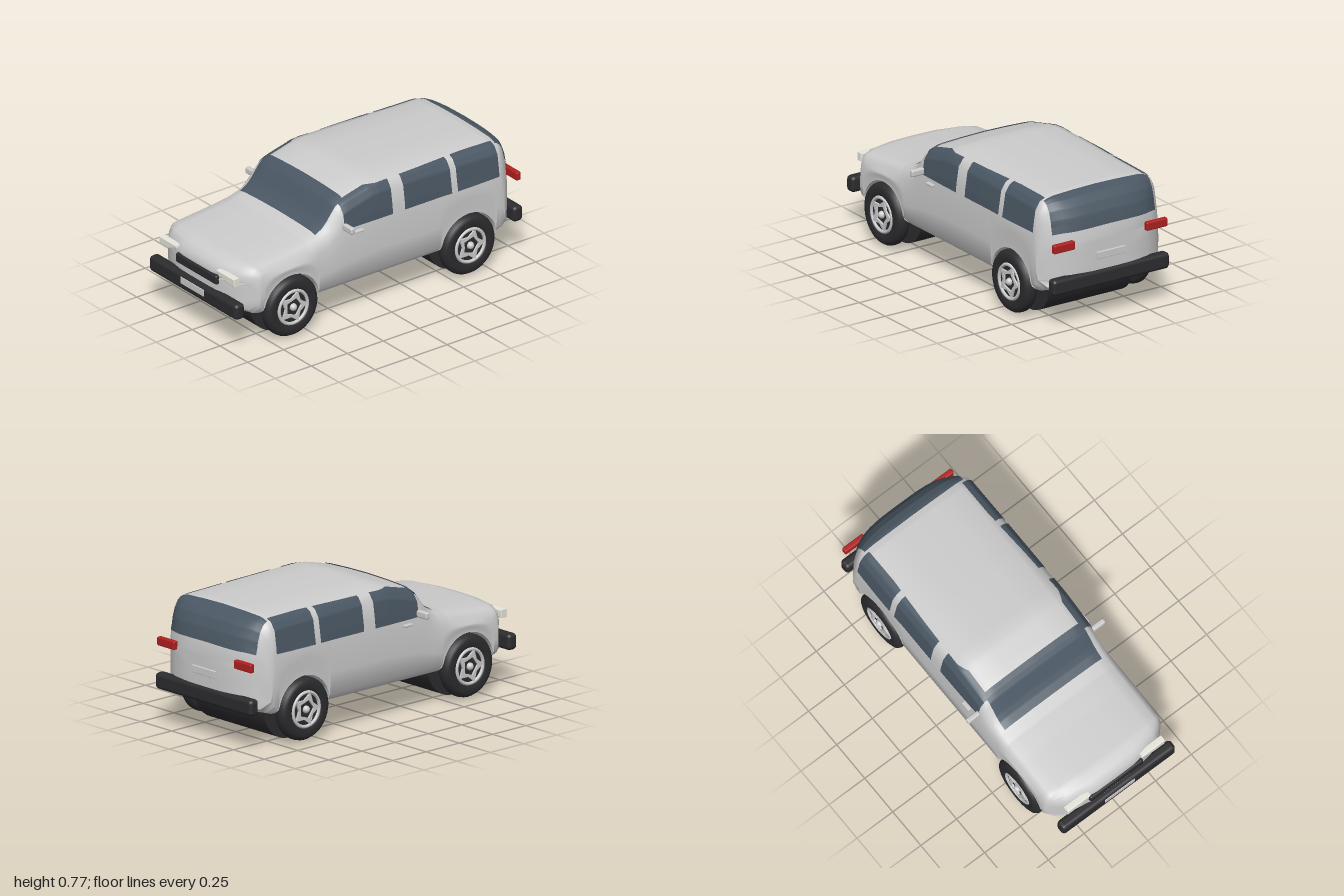
import * as THREE from 'three';
import { toCreasedNormals } from 'three/addons/utils/BufferGeometryUtils.js';
import { RoundedBoxGeometry } from 'three/addons/geometries/RoundedBoxGeometry.js';

const { lerp, clamp } = THREE.MathUtils;
const WHEEL_Z = [0.62, -0.61], WHEEL_Y = 0.19, ARCH_R = 0.192;

const mat = (color, side = THREE.FrontSide) => new THREE.MeshStandardMaterial({ color, side });
const paint = mat(0xcccccc), dark = mat(0x2c2c2f), red = mat(0xb02020), lamp = mat(0xe6e6dc);
const glass = mat(0x4a5763, THREE.DoubleSide);

function table(rows, v) {
  if (v <= rows[0][0]) return rows[0][1];
  for (let i = 1; i < rows.length; i++) {
    const [a, p] = rows[i - 1], [b, q] = rows[i];
    if (v <= b) return b === a ? q : lerp(p, q, (v - a) / (b - a));
  }
  return rows[rows.length - 1][1];
}

// Height of the roof and bonnet, and of the floor, along z
const TOP = [[-0.985, 0.5], [-0.977, 0.57], [-0.96, 0.635], [-0.93, 0.69], [-0.89, 0.728], [-0.85, 0.744],
  [-0.8, 0.752], [-0.3, 0.762], [0.0, 0.766], [0.05, 0.76], [0.2, 0.722], [0.24, 0.708], [0.27, 0.685],
  [0.33, 0.605], [0.36, 0.575], [0.4, 0.553], [0.48, 0.53], [0.6, 0.514], [0.86, 0.488], [0.92, 0.47],
  [0.95, 0.445], [0.965, 0.41]];
const FLOOR = [[-0.985, 0.225], [-0.92, 0.198], [-0.8, 0.18], [0.8, 0.18], [0.92, 0.198], [0.965, 0.22]];
// Shoulder curves as [x, drop below the top], for bonnet and cabin
const BONNET = [[0.4, 0.07], [0.39, 0.04], [0.365, 0.02], [0.3, 0.008], [0.15, 0.002], [0, 0]];
const CABIN = [[0.4, 0.17], [0.385, 0.075], [0.355, 0.03], [0.3, 0.01], [0.15, 0.003], [0, 0]];

// Half cross-section at z, from the middle of the floor round to the middle of the roof
function section(z) {
  const top = table(TOP, z), floor = table(FLOOR, z), s = clamp((top - 0.5) / 0.22, 0, 1);
  let low = floor + 0.012;
  for (const c of WHEEL_Z) {
    const d = ARCH_R ** 2 - (z - c) ** 2;
    if (d > 0) low = Math.max(low, WHEEL_Y + Math.sqrt(d));
  }
  const cut = clamp((low - floor - 0.012) / 0.03, 0, 1);
  const shoulder = BONNET.map(([x, d], i) => [lerp(x, CABIN[i][0], s), top - lerp(d, CABIN[i][1], s)]);
  const y1 = shoulder[0][1], y0 = Math.min(low + 0.04, lerp(low, y1, 0.4));
  return [[0, floor], [0.28, floor + 0.008], [0.28, low], [lerp(0.365, 0.405, cut), low],
    [0.404, y0], [0.41, lerp(y0, y1, 0.35)], [0.408, lerp(y0, y1, 0.75)], ...shoulder];
}

// Sweep the corners of the nose and tail back
function bend(x, y, z) {
  const w = clamp((Math.abs(z) - 0.83) / 0.14, 0, 1);
  return [x, y, z - Math.sign(z) * 0.13 * w * (Math.abs(x) / 0.41) ** 4];
}

function bodyGeometry() {
  const zs = TOP.map(r => r[0]);
  for (let z = -0.96; z < 0.95; z += 0.04) zs.push(z);
  for (const c of WHEEL_Z) {
    for (let i = 0; i <= 24; i++) zs.push(c + ARCH_R * Math.cos(Math.PI * i / 24));
    zs.push(c + ARCH_R + 0.001, c - ARCH_R - 0.001);
  }
  zs.sort((a, b) => b - a);
  const stations = zs.filter((z, i) => i === 0 || zs[i - 1] - z > 0.0004).map(z => [z, 1]);
  // Shrinking rings close both ends
  const scales = [0.85, 0.65, 0.4, 0.2, 0];
  const first = zs[0], last = zs[zs.length - 1];
  const rings = [...scales.map(k => [first, k]).reverse(), ...stations, ...scales.map(k => [last, k])];
  const pos = [], idx = [];
  let n = 0;
  for (const [z, k] of rings) {
    const half = section(z), mirror = half.slice(1, -1).reverse().map(([x, y]) => [-x, y]);
    const ring = [...half, ...mirror], mid = (half[0][1] + half[half.length - 1][1]) / 2;
    n = ring.length;
    for (const [x, y] of ring) pos.push(...bend(x * k, lerp(mid, y, k), z));
  }
  for (let i = 0; i < rings.length - 1; i++) for (let j = 0; j < n; j++) {
    const a = i * n + j, b = i * n + (j + 1) % n;
    idx.push(a, a + n, b, b, a + n, b + n);
  }
  const g = new THREE.BufferGeometry();
  g.setAttribute('position', new THREE.Float32BufferAttribute(pos, 3));
  g.setIndex(idx);
  return toCreasedNormals(g, 0.75);
}

// Curved panel from a rule of u and v
function patch(rule, nu = 16, nv = 16) {
  const g = new THREE.PlaneGeometry(1, 1, nu, nv), p = g.attributes.position;
  for (let i = 0; i < p.count; i++) p.setXYZ(i, ...rule(p.getX(i) + 0.5, p.getY(i) + 0.5));
  g.computeVertexNormals();
  return g;
}
const surfaceY = (x, z) => table(section(z).slice(7).reverse(), Math.abs(x));
const surfaceX = (y, z) => table(section(z).slice(3).map(([x, h]) => [h, x]), y);

function add(parent, name, geometry, material, x = 0, y = 0, z = 0) {
  const m = new THREE.Mesh(geometry, material);
  m.name = name;
  m.position.set(x, y, z);
  parent.add(m);
  return m;
}
const box = (w, h, d, r = 0.01) => new RoundedBoxGeometry(w, h, d, 3, r);

// Wheel with its outer face towards +x
function makeWheel() {
  const wheel = new THREE.Group();
  const profile = [[0.1, -0.04], [0.15, -0.042], [0.168, -0.034], [0.178, -0.018], [0.18, 0],
    [0.178, 0.018], [0.168, 0.034], [0.15, 0.042], [0.115, 0.042], [0.105, 0.03]];
  const tyre = new THREE.LatheGeometry(profile.map(([r, h]) => new THREE.Vector2(r, h)), 40);
  add(wheel, 'tyre', tyre, mat(0x2c2c2f, THREE.DoubleSide)).rotation.z = -Math.PI / 2;
  add(wheel, 'rimDisc', new THREE.CylinderGeometry(0.108, 0.108, 0.06, 32), dark).rotation.z = -Math.PI / 2;
  add(wheel, 'rimRing', new THREE.TorusGeometry(0.098, 0.01, 8, 40), paint, 0.034).rotation.y = Math.PI / 2;
  const star = (outer, inner) => Array.from({ length: 10 }, (_, i) => {
    const r = i % 2 ? inner : outer, a = Math.PI * i / 5;
    return new THREE.Vector2(r * Math.cos(a), r * Math.sin(a));
  });
  const spokes = new THREE.Shape(star(0.095, 0.058));
  spokes.holes.push(new THREE.Path(star(0.055, 0.044).reverse()));
  const spokeGeo = new THREE.ExtrudeGeometry(spokes, { depth: 0.012, bevelEnabled: false });
  add(wheel, 'spokes', spokeGeo, paint, 0.029).rotation.y = Math.PI / 2;
  add(wheel, 'hub', new THREE.SphereGeometry(0.022, 16, 10), paint, 0.034);
  return wheel;
}

export function createModel() {
  const car = new THREE.Group();
  car.name = 'car';
  add(car, 'body', bodyGeometry(), paint);

  // Windscreen and rear window
  add(car, 'windscreen', patch((u, v) => {
    const x = lerp(-0.34, 0.34, u), z = lerp(0.405, 0.21, v);
    return [x, surfaceY(x, z) + 0.004, z + 0.004];
  }, 20, 40), glass);
  add(car, 'rearWindow', patch((u, v) => {
    const x = lerp(-0.345, 0.345, u), z = lerp(-0.978, -0.83, v);
    const p = bend(x, surfaceY(x, z), z);
    return [p[0], p[1] + 0.003, p[2] - 0.005];
  }, 24, 40), glass);

  for (const s of [1, -1]) {
    const side = s > 0 ? 'left' : 'right';
    // Side windows
    [[0.25, -0.08], [-0.165, -0.49], [-0.53, -0.82]].forEach(([z0, z1], i) => {
      add(car, `${side}SideWindow${i + 1}`, patch((u, v) => {
        const z = lerp(z0, z1, u), y = lerp(0.545, Math.min(0.738, table(TOP, z) - 0.018), v);
        return [s * (surfaceX(y, z) + 0.004), y + 0.002 * v, z];
      }, 20, 24), glass);
    });

    // Wheels
    WHEEL_Z.forEach((z, i) => {
      const wheel = makeWheel();
      wheel.name = `${side}${i ? 'Rear' : 'Front'}Wheel`;
      wheel.position.set(s * 0.383, WHEEL_Y, z);
      if (s < 0) wheel.rotation.y = Math.PI;
      car.add(wheel);
    });

    // Mirrors, handles and lights
    add(car, `${side}Mirror`, box(0.085, 0.04, 0.03), paint, s * 0.438, 0.565, 0.25);
    add(car, `${side}DoorHandle`, box(0.025, 0.014, 0.06, 0.005), paint, s * 0.412, 0.516, 0.16);
    add(car, `${side}TailLight`, box(0.14, 0.05, 0.032, 0.008), red, s * 0.31, 0.487, -0.976);
    const wedge = new THREE.Shape([[0.335, 0.392], [0.335, 0.428], [0.185, 0.428], [0.185, 0.422], [0.265, 0.392]]
      .map(([x, y]) => new THREE.Vector2(s * x, y)));
    const wedgeGeo = new THREE.ExtrudeGeometry(wedge,
      { depth: 0.03, bevelThickness: 0.005, bevelSize: 0.005, bevelSegments: 2 });
    add(car, `${side}Headlight`, wedgeGeo, lamp, 0, 0, 0.935);
  }

  // Wheel wells across the underside
  WHEEL_Z.forEach((z, i) => {
    const well = new THREE.CylinderGeometry(0.19, 0.19, 0.562, 40);
    add(car, i ? 'rearWheelWell' : 'frontWheelWell', well, dark, 0, WHEEL_Y, z).rotation.z = Math.PI / 2;
  });

  // Bumpers, grille and plates
  add(car, 'frontBumper', box(0.79, 0.094, 0.065, 0.022), dark, 0, 0.254, 0.9675);
  add(car, 'rearBumper', box(0.78, 0.094, 0.065, 0.022), dark, 0, 0.26, -0.9675);
  add(car, 'grille', box(0.37, 0.056, 0.05, 0.012), dark, 0, 0.367, 0.953);
  add(car, 'frontPlate', box(0.21, 0.042, 0.012, 0.003), paint, 0, 0.265, 0.996);
  add(car, 'rearPlate', box(0.19, 0.042, 0.02, 0.003), paint, 0, 0.393, -0.986);
  return car;
}
